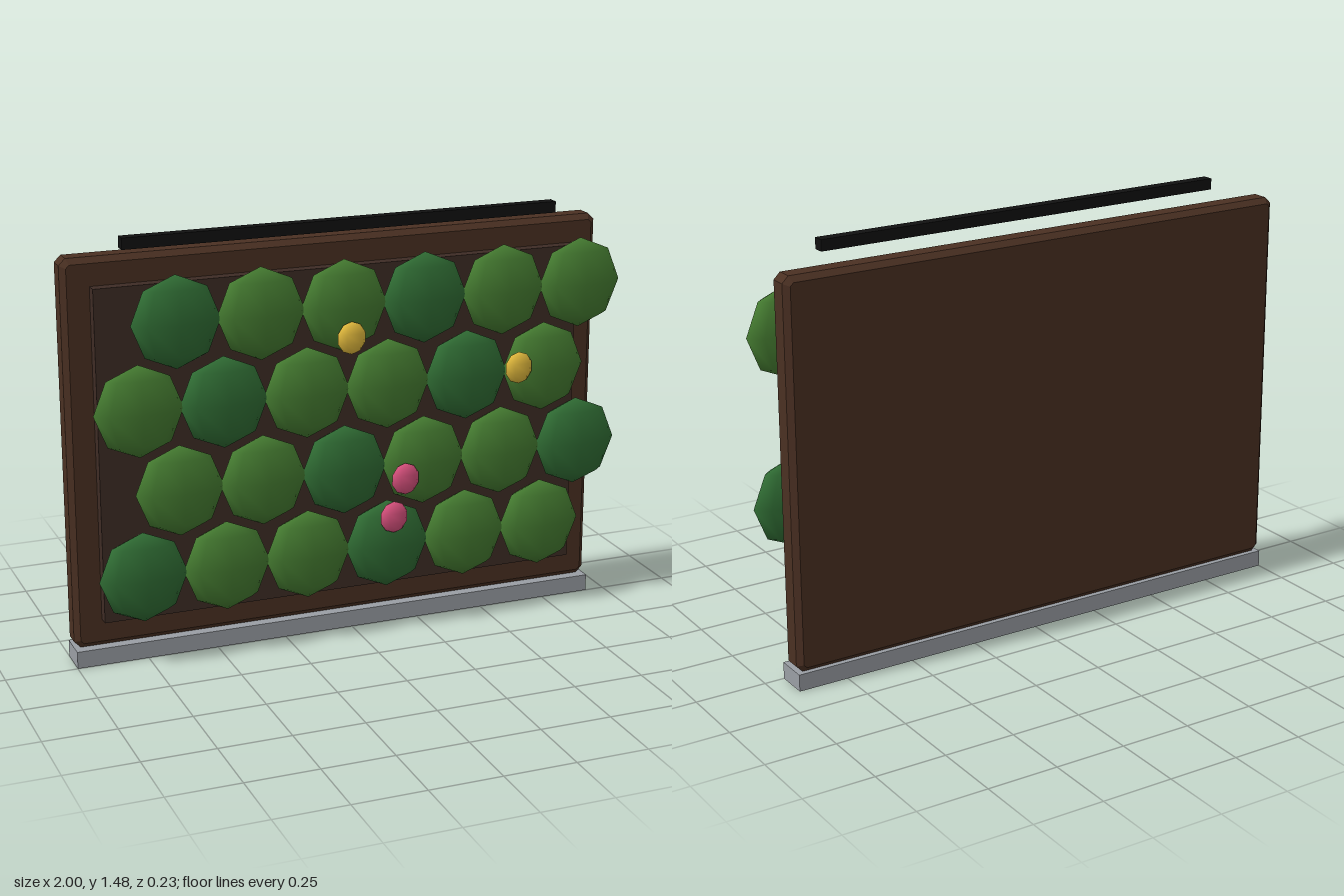
import * as THREE from 'three';

const material = (color) => new THREE.MeshStandardMaterial({ color });

export function createModel() {
  const model = new THREE.Group();

  function add(name, geometry, mat, x, y, z, parent = model) {
    const mesh = new THREE.Mesh(geometry, mat);
    mesh.name = name;
    mesh.position.set(x, y, z);
    parent.add(mesh);
    return mesh;
  }

  // Box with every edge chamfered, centred on the origin
  function chamferedBox(w, h, d, c) {
    const x = w / 2 - c, y = h / 2 - c;
    const k = c * 0.6;
    const shape = new THREE.Shape([
      [-x + k, -y], [x - k, -y], [x, -y + k], [x, y - k],
      [x - k, y], [-x + k, y], [-x, y - k], [-x, -y + k],
    ].map(([px, py]) => new THREE.Vector2(px, py)));
    const geometry = new THREE.ExtrudeGeometry(shape, {
      depth: d - 2 * c, bevelEnabled: true, bevelSegments: 1,
      bevelSize: c, bevelThickness: c,
    });
    return geometry.translate(0, 0, c - d / 2);
  }

  // Drip tray, wooden panel, soil bed and lamp
  add('dripTray', new THREE.BoxGeometry(1.93, 0.06, 0.115), material(0x9a9ea4), -0.035, 0.03, -0.058);
  add('backPanel', chamferedBox(1.93, 1.355, 0.095, 0.019), material(0x4a3022), -0.035, 0.7375, -0.068);
  add('soilBed', new THREE.BoxGeometry(1.74, 1.16, 0.06), material(0x3e2c25), -0.035, 0.74, -0.01);
  add('lampBar', new THREE.BoxGeometry(1.55, 0.039, 0.039), material(0x111111), -0.035, 1.465, 0.02);

  // Staggered rows of flattened plants
  const plants = new THREE.Group();
  plants.name = 'plants';
  model.add(plants);
  const leaf = new THREE.SphereGeometry(1, 8, 4).scale(0.155, 0.16, 0.058);
  const darkGreen = material(0x2f6b33), lightGreen = material(0x447a30);
  for (let row = 0; row < 4; row++) {
    for (let i = 0; i < 6; i++) {
      const x = (row % 2 ? -0.635 : -0.77) + i * 0.295;
      add('plant', leaf, (i + row) % 3 === 0 ? darkGreen : lightGreen, x, 0.315 + row * 0.2917, 0.04, plants);
    }
  }

  // Small blossoms
  const blossoms = new THREE.Group();
  blossoms.name = 'blossoms';
  model.add(blossoms);
  const bud = new THREE.SphereGeometry(1, 6, 5).scale(0.052, 0.057, 0.026);
  const yellow = material(0xe0b83c), pink = material(0xd6507c);
  for (const [x, y, mat] of [
    [-0.04, 1.09, yellow], [0.585, 0.92, yellow],
    [0.16, 0.565, pink], [0.118, 0.43, pink],
  ]) add('blossom', bud, mat, x, y, 0.097, blossoms);

  return model;
}
